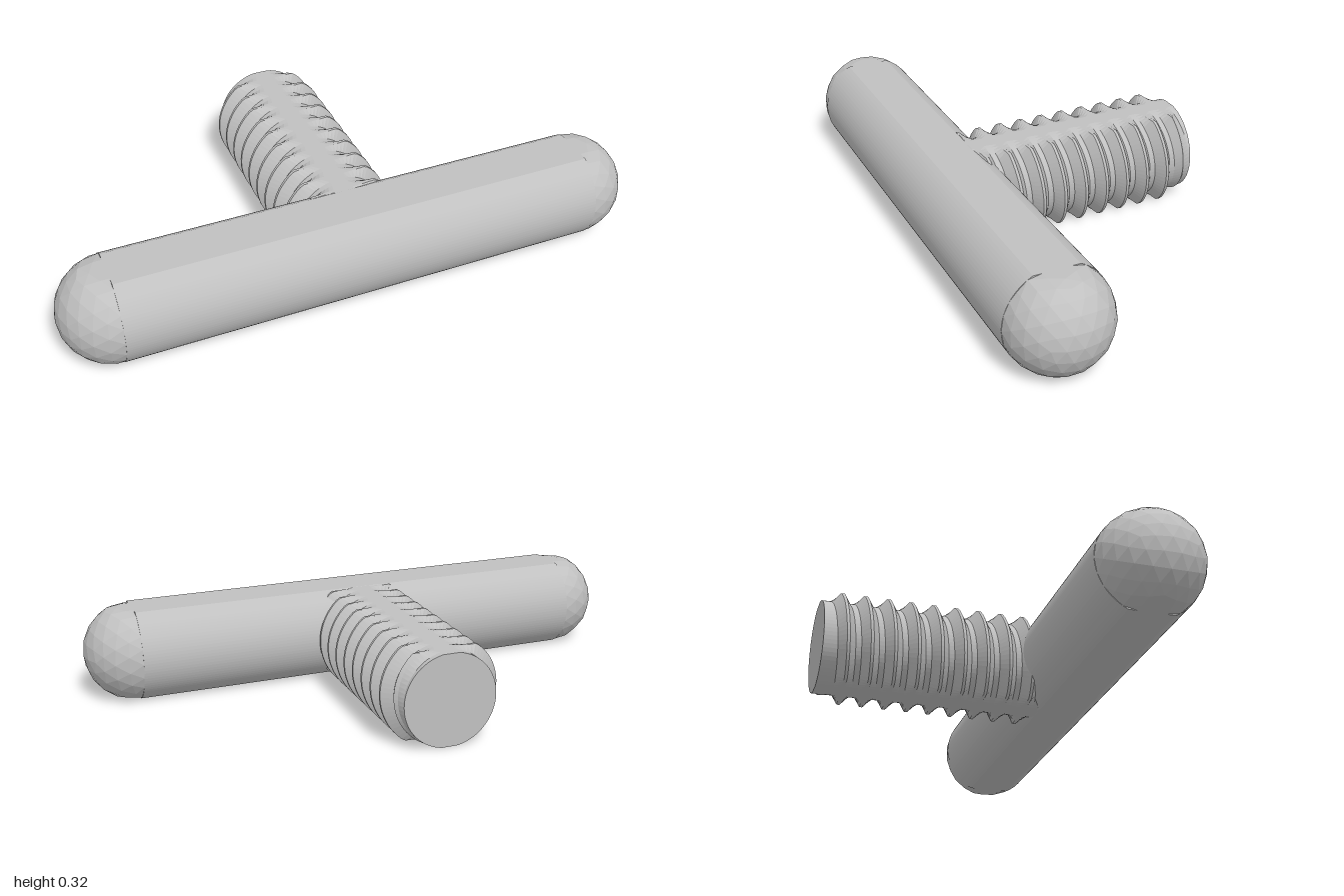
import * as THREE from 'three';

const HALF = 0.158; // half height between the top and bottom flats
const BAR_R = 0.175, BAR_Z = 0.345, BAR_X = 0.825;
const CORE_R = 0.16, CREST_R = 0.196, PITCH = 0.08;
const ROD_BACK = -0.52, ROD_FRONT = 0.27;

// Press everything beyond the two flats onto them
function flatten(geometry, half) {
  const p = geometry.attributes.position;
  for (let i = 0; i < p.count; i++) p.setY(i, THREE.MathUtils.clamp(p.getY(i), -half, half));
  geometry.computeVertexNormals();
  return geometry;
}

// Straight part of the bar: a circle with its top and bottom cut off, extruded
function barGeometry() {
  const a = Math.asin(HALF / BAR_R);
  const shape = new THREE.Shape();
  shape.absarc(0, 0, BAR_R, -a, a, false);
  shape.absarc(0, 0, BAR_R, Math.PI - a, Math.PI + a, false);
  const g = new THREE.ExtrudeGeometry(shape, { depth: 2 * BAR_X, bevelEnabled: false, curveSegments: 18 });
  return g.translate(0, 0, -BAR_X).rotateY(Math.PI / 2);
}

// Helical thread swept as rows of profile points, fading out at the free end
function threadGeometry() {
  const profile = [[-0.005, 1], [0.005, 1], [0.03, 0], [0.05, 0]];
  const rows = [];
  for (let turn = -3; turn < 11; turn++) {
    for (const [offset, height] of profile) rows.push([-0.405 + turn * PITCH + offset, height]);
  }
  const segments = 72, positions = [], index = [];
  for (const [start, height] of rows) {
    for (let j = 0; j <= segments; j++) {
      const angle = (j / segments) * Math.PI * 2;
      const z = THREE.MathUtils.clamp(start + (PITCH * j) / segments, ROD_BACK, ROD_FRONT);
      const fade = THREE.MathUtils.smoothstep(z, -0.505, -0.455);
      const r = CORE_R + (CREST_R - CORE_R) * height * fade;
      positions.push(r * Math.cos(angle), r * Math.sin(angle), z);
    }
  }
  const step = segments + 1;
  for (let i = 0; i < rows.length - 1; i++) {
    for (let j = 0; j < segments; j++) {
      const a = i * step + j, b = a + step;
      index.push(a, a + 1, b, a + 1, b + 1, b);
    }
  }
  const g = new THREE.BufferGeometry();
  g.setAttribute('position', new THREE.Float32BufferAttribute(positions, 3));
  g.setIndex(index);
  return flatten(g, HALF - 0.0005);
}

export function createModel() {
  const metal = new THREE.MeshStandardMaterial({ color: 0xc0c0c0, flatShading: true });
  metal.name = 'grey metal';

  const model = new THREE.Group();
  model.name = 'threadedTHandle';
  const add = (name, geometry, x, z) => {
    const mesh = new THREE.Mesh(geometry, metal);
    mesh.name = name;
    mesh.position.set(x, HALF, z);
    model.add(mesh);
  };

  // Cross bar with rounded ends
  add('crossBar', barGeometry(), 0, BAR_Z);
  for (const side of [-1, 1]) {
    const end = flatten(new THREE.IcosahedronGeometry(BAR_R, 3), HALF);
    add(side > 0 ? 'leftBarEnd' : 'rightBarEnd', end, side * BAR_X, BAR_Z);
  }

  // Threaded rod and its flat end face
  add('threadedRod', threadGeometry(), 0, 0);
  const endFace = new THREE.CircleGeometry(CORE_R, 72).rotateY(Math.PI);
  add('rodEndFace', flatten(endFace, HALF - 0.0005), 0, ROD_BACK);

  return model;
}
